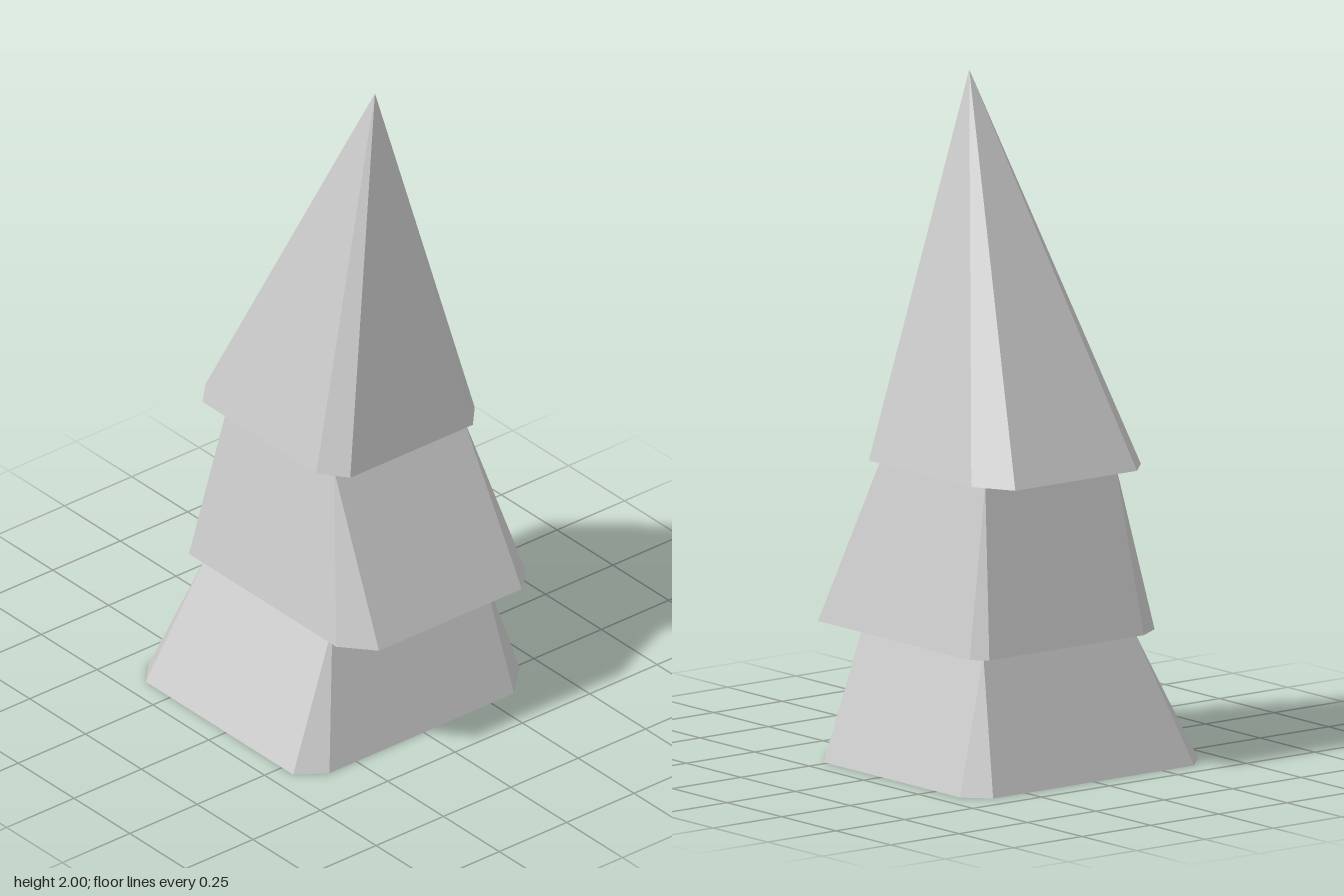
import * as THREE from 'three';

const grey = new THREE.MeshStandardMaterial({ color: 0xcccccc });
grey.name = 'plainGrey';

// Eight-point ring at height y; points run front, +x side, back, -x side.
const ring = (y, pts) => pts.map(([x, z]) => new THREE.Vector3(x, y, z));

// Rectangle whose corners are each doubled, so chamfers close to a point.
const square = (y, x0, x1, z0, z1) => ring(y, [
  [x0, z1], [x1, z1], [x1, z1], [x1, z0], [x1, z0], [x0, z0], [x0, z0], [x0, z1]]);

const point = (x, y, z) => ring(y, Array(8).fill([x, z]));

// Joins consecutive rings with flat faces, skipping collapsed triangles.
function loft(name, rings) {
  const out = [];
  const tri = (a, b, c) => {
    const area = b.clone().sub(a).cross(c.clone().sub(a)).length();
    if (area > 1e-7) out.push(...a.toArray(), ...b.toArray(), ...c.toArray());
  };
  for (let k = 0; k < rings.length - 1; k++) {
    const a = rings[k], b = rings[k + 1];
    for (let i = 0; i < 8; i++) {
      const j = (i + 1) % 8;
      tri(a[i], a[j], b[j]);
      tri(a[i], b[j], b[i]);
    }
  }
  const geo = new THREE.BufferGeometry();
  geo.setAttribute('position', new THREE.Float32BufferAttribute(out, 3));
  geo.computeVertexNormals();
  const mesh = new THREE.Mesh(geo, grey);
  mesh.name = name;
  return mesh;
}

// Small chamfered socket outline under the tree
const socket = (y) => ring(y, [
  [-0.08, 0.06], [0, 0.06], [0.02, 0.04], [0.02, -0.04],
  [0, -0.06], [-0.08, -0.06], [-0.1, -0.04], [-0.1, 0.04]]);

export function createModel() {
  const tree = new THREE.Group();
  tree.name = 'tree';

  const top1 = square(0.39, -0.31, 0.24, -0.31, 0.24);
  const top2 = square(0.88, -0.275, 0.2, -0.275, 0.2);

  // Lowest tier with the socket in its underside
  tree.add(loft('lowerTier', [
    point(-0.04, 0.36, 0), socket(0.36), socket(0),
    ring(0, [
      [-0.36, 0.435], [0.3, 0.435], [0.36, 0.35], [0.36, -0.335],
      [0.265, -0.435], [-0.36, -0.435], [-0.43, -0.37], [-0.43, 0.365]]),
    top1]));

  // Middle tier overhanging the lower one
  tree.add(loft('middleTier', [
    top1,
    ring(0.39, [
      [-0.33, 0.3], [0.33, 0.3], [0.425, 0.22], [0.425, -0.31],
      [0.36, -0.38], [-0.335, -0.38], [-0.375, -0.34], [-0.375, 0.225]]),
    top2]));

  // Leaning pointed top
  tree.add(loft('topTier', [
    top2,
    ring(0.88, [
      [-0.33, 0.25], [0.18, 0.25], [0.26, 0.19], [0.26, -0.265],
      [0.19, -0.33], [-0.28, -0.33], [-0.4, -0.265], [-0.4, 0.18]]),
    point(0.093, 2, -0.04)]));

  return tree;
}
